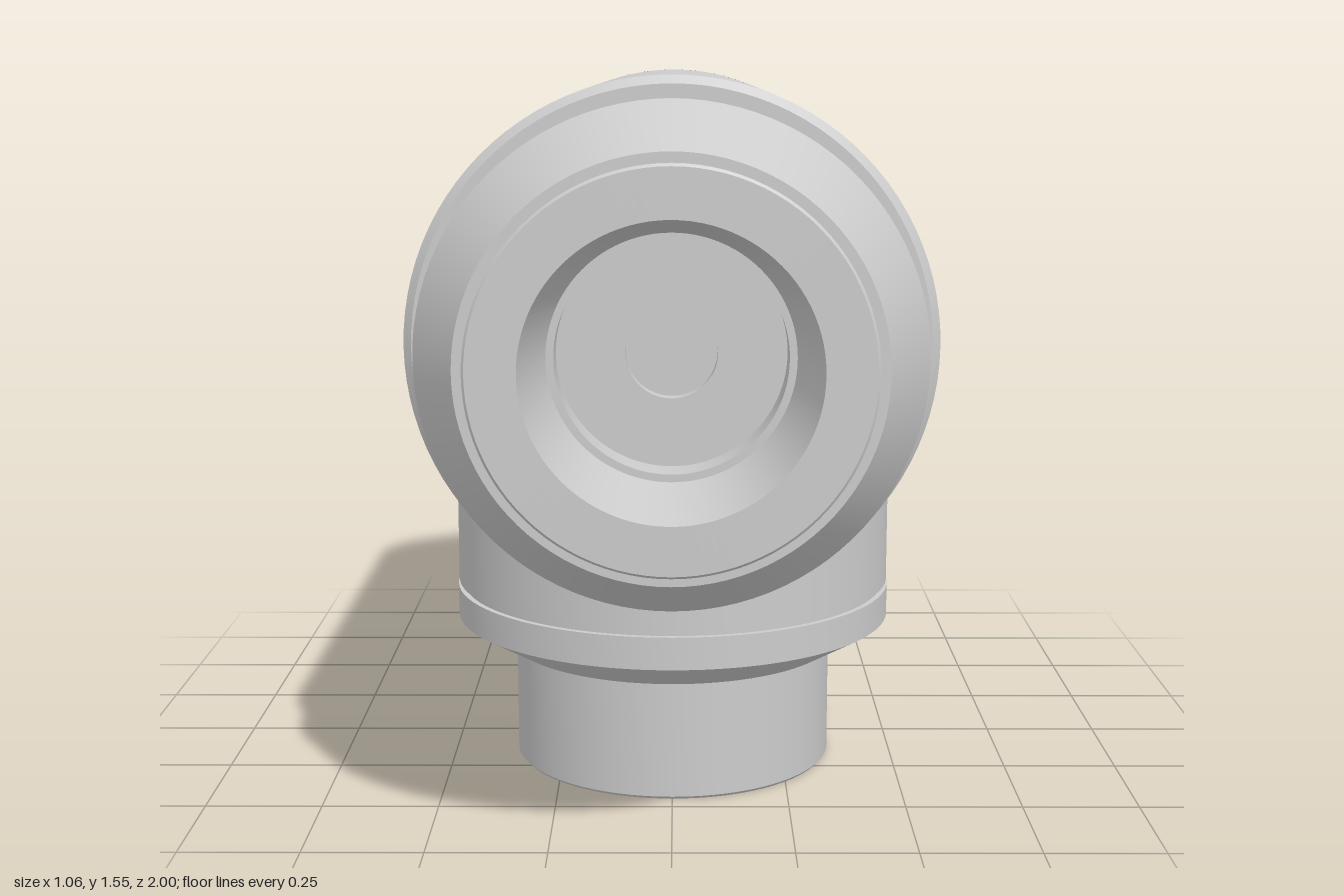
import * as THREE from 'three';
import { toCreasedNormals } from 'three/addons/utils/BufferGeometryUtils.js';

const AXIS_Y = 1.015; // height of the horizontal barrel axis
const NECK_Z = 0.1;   // position of the vertical neck axis

const grey = new THREE.MeshStandardMaterial({ color: 0xcccccc });
const black = new THREE.MeshStandardMaterial({ color: 0x080808 });
const blue = new THREE.MeshStandardMaterial({ color: 0x1e80e6 });

// Turned part from [radius, position along axis] pairs, with crisp edges
function turned(name, profile, material) {
  const points = profile.map(([r, h]) => new THREE.Vector2(r, h));
  const geometry = toCreasedNormals(new THREE.LatheGeometry(points, 96), 0.2);
  const mesh = new THREE.Mesh(geometry, material);
  mesh.name = name;
  return mesh;
}

export function createModel() {
  const model = new THREE.Group();
  model.name = 'angledFitting';

  // Horizontal assembly: local y of each profile becomes z
  const barrel = new THREE.Group();
  barrel.name = 'barrelAssembly';
  barrel.position.y = AXIS_Y;
  barrel.rotation.x = Math.PI / 2;
  model.add(barrel);

  barrel.add(turned('barrel', [
    [0.525, -0.78], [0.532, -0.773], [0.532, 0.638], [0.515, 0.655], [0.475, 0.655],
  ], grey));

  // Grooved collar, tapered nose and stepped socket
  barrel.add(turned('collar', [
    [0.475, 0.65], [0.487, 0.655], [0.487, 0.687], [0.48, 0.687], [0.48, 0.696],
    [0.487, 0.696], [0.487, 0.805], [0.478, 0.805], [0.478, 0.815],
  ], grey));
  barrel.add(turned('nose', [
    [0.478, 0.812], [0.49, 0.817], [0.49, 0.824], [0.4, 0.977], [0.38, 0.977],
    [0.38, 0.995], [0.375, 1.0], [0.28, 1.0],
  ], grey));
  barrel.add(turned('socket', [
    [0.28, 1.0], [0.24, 0.8], [0.225, 0.8], [0.225, 0.72], [0.09, 0.72],
    [0.09, 0.69], [0, 0.69],
  ], grey));

  // Black end cap: shallow dome with a bevelled rim
  const cap = [];
  for (let i = 0; i <= 10; i++) {
    const r = 0.37 * i / 10;
    cap.push([r, -0.965 - 0.035 * (1 - (i / 10) ** 2)]);
  }
  cap.push([0.525, -0.79], [0.532, -0.78], [0, -0.78]);
  barrel.add(turned('endCap', cap, black));

  // Small indicator housing below the cap
  const indicator = new THREE.Group();
  indicator.name = 'indicator';
  indicator.position.set(0, 0.49, -0.858);
  indicator.add(turned('indicatorHousing', [
    [0.045, 0.006], [0.047, 0], [0.068, 0], [0.072, 0.005], [0.072, 0.22], [0, 0.22],
  ], black));
  indicator.add(turned('indicatorLight', [[0, 0.002], [0.046, 0.004]], blue));
  model.add(indicator);

  // Vertical assembly
  const neck = new THREE.Group();
  neck.name = 'neckAssembly';
  neck.position.z = NECK_Z;
  model.add(neck);

  neck.add(turned('neck', [
    [0.478, 0.413], [0.488, 0.413], [0.488, 0.95],
  ], grey));
  neck.add(turned('neckCollar', [
    [0.35, 0.265], [0.375, 0.265], [0.49, 0.332], [0.49, 0.402], [0.478, 0.402], [0.478, 0.416],
  ], grey));
  // Open pipe with a thin wall and a closed inner end
  neck.add(turned('pipe', [
    [0, 0.21], [0.34, 0.21], [0.34, 0.005], [0.345, 0], [0.353, 0], [0.358, 0.006], [0.358, 0.27],
  ], grey));

  return model;
}
